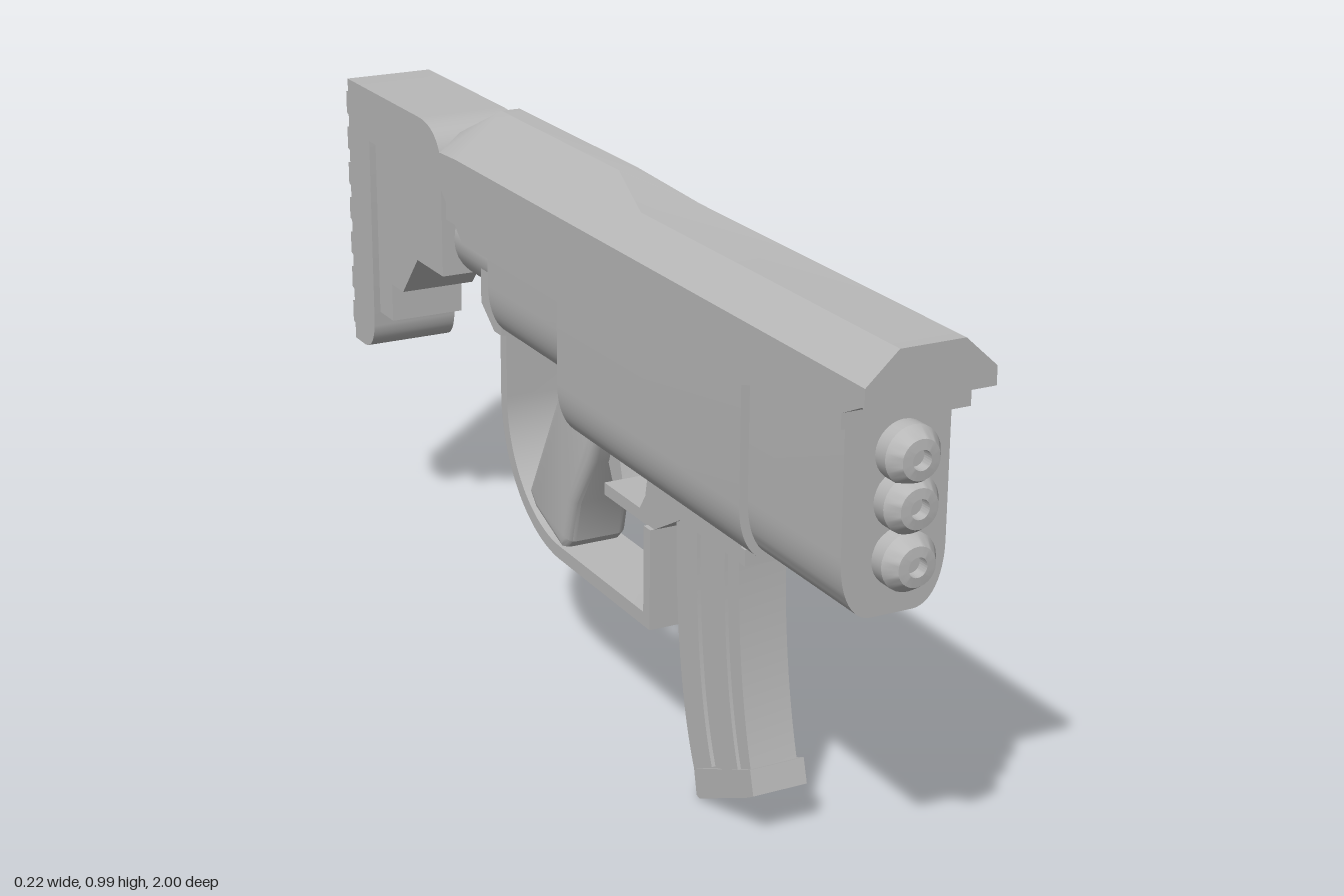
import * as THREE from 'three';
import { toCreasedNormals } from 'three/addons/utils/BufferGeometryUtils.js';

const grey = new THREE.MeshStandardMaterial({ color: 0xb8b8b8 });
grey.name = 'plain grey';

export function createModel() {
  const model = new THREE.Group();

  const add = (name, geometry, parent = model) => {
    const mesh = new THREE.Mesh(toCreasedNormals(geometry, 0.5), grey);
    mesh.name = name;
    parent.add(mesh);
    return mesh;
  };
  const shapeOf = (pts) => new THREE.Shape(pts.map(([a, b]) => new THREE.Vector2(a, b)));

  // Side profile in (z, y), extruded symmetrically across x
  const side = (name, profile, half, bevel = 0) => {
    const shape = Array.isArray(profile) ? shapeOf(profile) : profile;
    const depth = 2 * (half - bevel);
    const g = new THREE.ExtrudeGeometry(shape, {
      depth, curveSegments: 14, bevelEnabled: bevel > 0, bevelSize: bevel,
      bevelThickness: bevel, bevelOffset: -bevel, bevelSegments: 4,
    });
    g.translate(0, 0, -depth / 2);
    g.rotateY(-Math.PI / 2);
    return add(name, g);
  };

  // U-shaped trough running along z
  const trough = (name, half, top, bottom, z0, z1) => {
    const s = new THREE.Shape();
    const knee = bottom + 0.1, flat = half * 0.4;
    s.moveTo(half, top);
    s.lineTo(-half, top);
    s.lineTo(-half, knee);
    s.bezierCurveTo(-half, bottom + 0.04, -half * 0.75, bottom, -flat, bottom);
    s.lineTo(flat, bottom);
    s.bezierCurveTo(half * 0.75, bottom, half, bottom + 0.04, half, knee);
    const g = new THREE.ExtrudeGeometry(s, { depth: z1 - z0, bevelEnabled: false, curveSegments: 12 });
    g.translate(0, 0, z0);
    return add(name, g);
  };

  // Roof-shaped top cover: z, ridge half width, ridge height, shoulder height
  const sections = [
    [1, 0.055, 0.965, 0.915], [0.23, 0.055, 0.965, 0.915], [0.08, 0.018, 0.995, 0.915],
    [-0.38, 0.018, 0.995, 0.915], [-0.45, 0.07, 0.945, 0.912], [-0.47, 0.1, 0.908, 0.9],
  ];
  const pos = [], idx = [];
  sections.forEach(([z, w, t, s]) => {
    [[0.11, 0.885], [0.11, s], [w, t], [-w, t], [-0.11, s], [-0.11, 0.885]]
      .forEach(([x, y]) => pos.push(x, y, z));
  });
  const last = (sections.length - 1) * 6;
  for (let i = 0; i < last; i += 6) {
    for (let j = 0; j < 6; j++) {
      const k = (j + 1) % 6;
      idx.push(i + j, i + 6 + j, i + 6 + k, i + j, i + 6 + k, i + k);
    }
  }
  for (let j = 1; j < 5; j++) idx.push(0, j, j + 1, last, last + j + 1, last + j);
  const cover = new THREE.BufferGeometry();
  cover.setAttribute('position', new THREE.Float32BufferAttribute(pos, 3));
  cover.setIndex(idx);
  add('topCover', cover);

  // Flange hanging below the cover
  side('coverFlange', [[0.995, 0.886], [0.94, 0.86], [0.94, 0.835], [0.73, 0.835], [0.5, 0.765],
    [-0.36, 0.765], [-0.47, 0.86], [-0.47, 0.886]], 0.1095);

  // Body
  trough('frontBody', 0.09, 0.86, 0.523, 0.6, 0.92);
  trough('mainBody', 0.105, 0.83, 0.515, 0.02, 0.65);
  trough('rearBody', 0.1, 0.83, 0.61, -0.27, 0.03);
  side('bodySlope', [[0.03, 0.525], [0.02, 0.53], [-0.04, 0.615], [-0.04, 0.7], [0.03, 0.7]], 0.06);

  // Three stacked barrels
  const barrels = new THREE.Group();
  barrels.name = 'barrels';
  model.add(barrels);
  const barrelProfile = [[0.036, -0.02], [0.036, 0.008], [0.047, 0.014], [0.047, 0.04],
    [0.032, 0.063], [0.016, 0.065], [0.016, 0.045], [0, 0.045]];
  for (const y of [0.62, 0.71, 0.785]) {
    const g = new THREE.LatheGeometry(barrelProfile.map(([r, h]) => new THREE.Vector2(r, h)), 28);
    g.rotateX(Math.PI / 2);
    add('barrel', g, barrels).position.set(0, y, 0.92);
  }

  // Magazine well
  side('magazineWell', [[0.585, 0.48], [0.37, 0.48], [0.28, 0.43], [0.1, 0.43], [0.1, 0.452],
    [0.23, 0.452], [0.25, 0.48], [0.26, 0.53], [0.57, 0.53], [0.57, 0.508], [0.585, 0.508]], 0.055);

  // Curved magazine, side ribs and base
  const curved = (front, back, half, name) => {
    const s = new THREE.Shape();
    s.moveTo(front[0][0], front[0][1]);
    s.quadraticCurveTo(...front[1], ...front[2]);
    s.lineTo(...back[2]);
    s.quadraticCurveTo(...back[1], ...back[0]);
    side(name, s, half);
  };
  curved([[0.545, 0.5], [0.545, 0.28], [0.6, 0.11]], [[0.35, 0.5], [0.35, 0.2], [0.42, 0.04]], 0.043, 'magazine');
  curved([[0.42, 0.49], [0.42, 0.22], [0.48, 0.08]], [[0.35, 0.49], [0.35, 0.2], [0.42, 0.05]], 0.05, 'magazineRearRib');
  curved([[0.51, 0.49], [0.51, 0.26], [0.565, 0.11]], [[0.45, 0.49], [0.45, 0.23], [0.51, 0.08]], 0.049, 'magazineMiddleRib');
  side('magazineBase', [[0.605, 0.132], [0.59, 0.125], [0.42, 0.05], [0.43, 0.005], [0.44, 0.003],
    [0.6, 0.08], [0.617, 0.09]], 0.05);

  // Trigger guard sweeping up to the rear of the body
  const guard = new THREE.Shape();
  guard.moveTo(0.283, 0.432);
  guard.lineTo(0.283, 0.25);
  guard.lineTo(-0.06, 0.25);
  guard.absarc(-0.06, 0.49, 0.24, -Math.PI / 2, -Math.PI, true);
  guard.lineTo(-0.3, 0.64);
  guard.lineTo(-0.274, 0.64);
  guard.absarc(-0.06, 0.49, 0.215, -Math.PI, -Math.PI / 2, false);
  guard.lineTo(0.26, 0.275);
  guard.lineTo(0.26, 0.432);
  side('triggerGuard', guard, 0.063);

  // Grip and trigger
  side('grip', [[0.075, 0.54], [-0.04, 0.615], [-0.055, 0.6], [-0.2, 0.335], [-0.17, 0.305],
    [-0.06, 0.265], [-0.035, 0.29], [-0.015, 0.37], [0.05, 0.47]], 0.06, 0.018);
  side('trigger', [[0.075, 0.53], [0.1, 0.45], [0.11, 0.43], [0.07, 0.42], [0.03, 0.5], [0.03, 0.53]], 0.02);

  // Rear mount and tube joining the stock
  side('guardMount', [[-0.27, 0.61], [-0.3, 0.61], [-0.355, 0.65], [-0.355, 0.8], [-0.3, 0.8],
    [-0.3, 0.7], [-0.27, 0.7]], 0.075);
  const tube = new THREE.CylinderGeometry(0.08, 0.08, 0.22, 28);
  tube.rotateX(Math.PI / 2);
  add('stockTube', tube).position.set(0, 0.741, -0.35);
  side('stockNeck', [[-0.36, 0.76], [-0.55, 0.76], [-0.55, 0.838], [-0.36, 0.838]], 0.065);
  side('stockLatch', [[-0.44, 0.71], [-0.55, 0.71], [-0.55, 0.737], [-0.44, 0.737]], 0.04);

  // Stock cap with rounded nose
  const cap = new THREE.Shape();
  cap.moveTo(-0.495, 0.845);
  cap.bezierCurveTo(-0.495, 0.9, -0.52, 0.943, -0.6, 0.943);
  cap.lineTo(-0.948, 0.943);
  cap.lineTo(-0.948, 0.84);
  cap.lineTo(-0.53, 0.84);
  side('stockCap', cap, 0.087);
  side('stockPanel', [[-0.53, 0.845], [-0.53, 0.65], [-0.65, 0.65], [-0.725, 0.565], [-0.78, 0.565],
    [-0.78, 0.49], [-0.86, 0.49], [-0.86, 0.845]], 0.074);

  // Butt plate and ridged pad
  const butt = new THREE.Shape();
  butt.moveTo(-0.845, 0.845);
  butt.lineTo(-0.845, 0.47);
  butt.quadraticCurveTo(-0.85, 0.41, -0.9, 0.408);
  butt.lineTo(-0.948, 0.408);
  butt.lineTo(-0.948, 0.845);
  side('buttPlate', butt, 0.087);
  side('padBacking', [[-0.94, 0.42], [-0.965, 0.42], [-0.965, 0.92], [-0.94, 0.92]], 0.068);
  for (let i = 0; i < 7; i++) {
    const y = 0.415 + i * 0.0725;
    side('padRidge', [[-0.96, y], [-1, y + 0.012], [-1, y + 0.055], [-0.96, y + 0.066]], 0.07);
  }

  return model;
}
